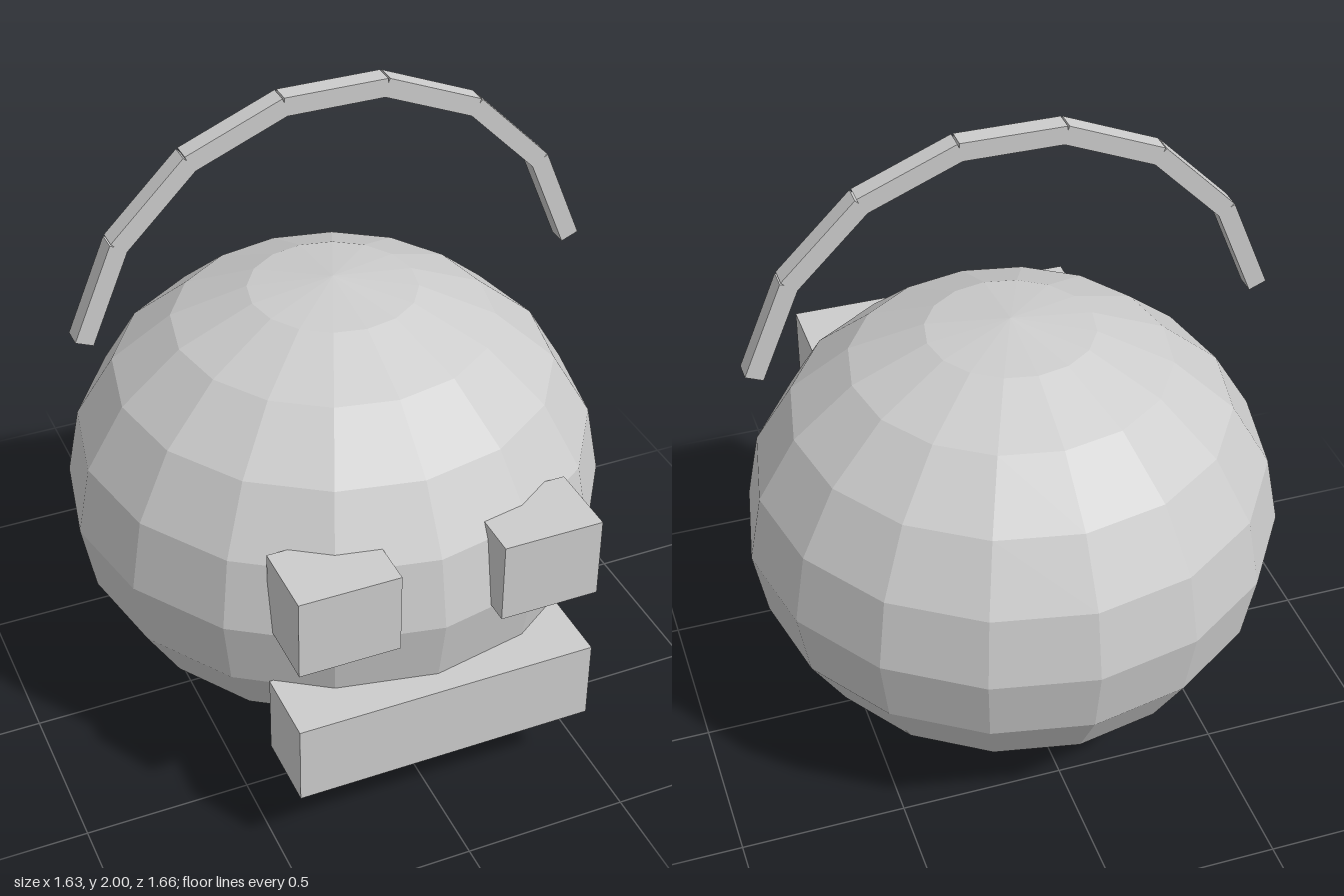
import * as THREE from 'three';

export function createModel() {
  const model = new THREE.Group();
  model.name = 'roundFaceWithArch';
  const grey = new THREE.MeshStandardMaterial({ color: 0xcccccc });
  grey.name = 'light grey';
  grey.flatShading = true;

  const add = (name, geometry, x, y, z, parent = model) => {
    const mesh = new THREE.Mesh(geometry, grey);
    mesh.name = name;
    mesh.position.set(x, y, z);
    parent.add(mesh);
    return mesh;
  };
  const midZ = -0.017;

  // Faceted, slightly squashed head
  const headShape = new THREE.SphereGeometry(0.813, 16, 10);
  headShape.scale(1, 0.692 / 0.813, 1);
  add('head', headShape, 0, 0.694, midZ);

  // Block eyes and mouth, sunk into the front of the head
  for (const side of [-1, 1]) {
    add(side > 0 ? 'leftEye' : 'rightEye', new THREE.BoxGeometry(0.302, 0.252, 0.23), side * 0.306, 0.826, 0.715);
  }
  add('mouth', new THREE.BoxGeometry(0.914, 0.252, 0.23), 0, 0.365, 0.715);

  // Arch of seven straight bars floating over the head
  const arch = new THREE.Group();
  arch.name = 'arch';
  arch.position.set(0, 1.212, midZ);
  model.add(arch);
  const radius = 0.76;
  const bar = new THREE.BoxGeometry(0.308, 0.056, 0.06);
  for (let i = -3; i <= 3; i++) {
    const angle = i * Math.PI / 8;
    const mesh = add('archBar', bar, Math.sin(angle) * radius, Math.cos(angle) * radius, 0, arch);
    mesh.rotation.z = -angle;
  }
  return model;
}
